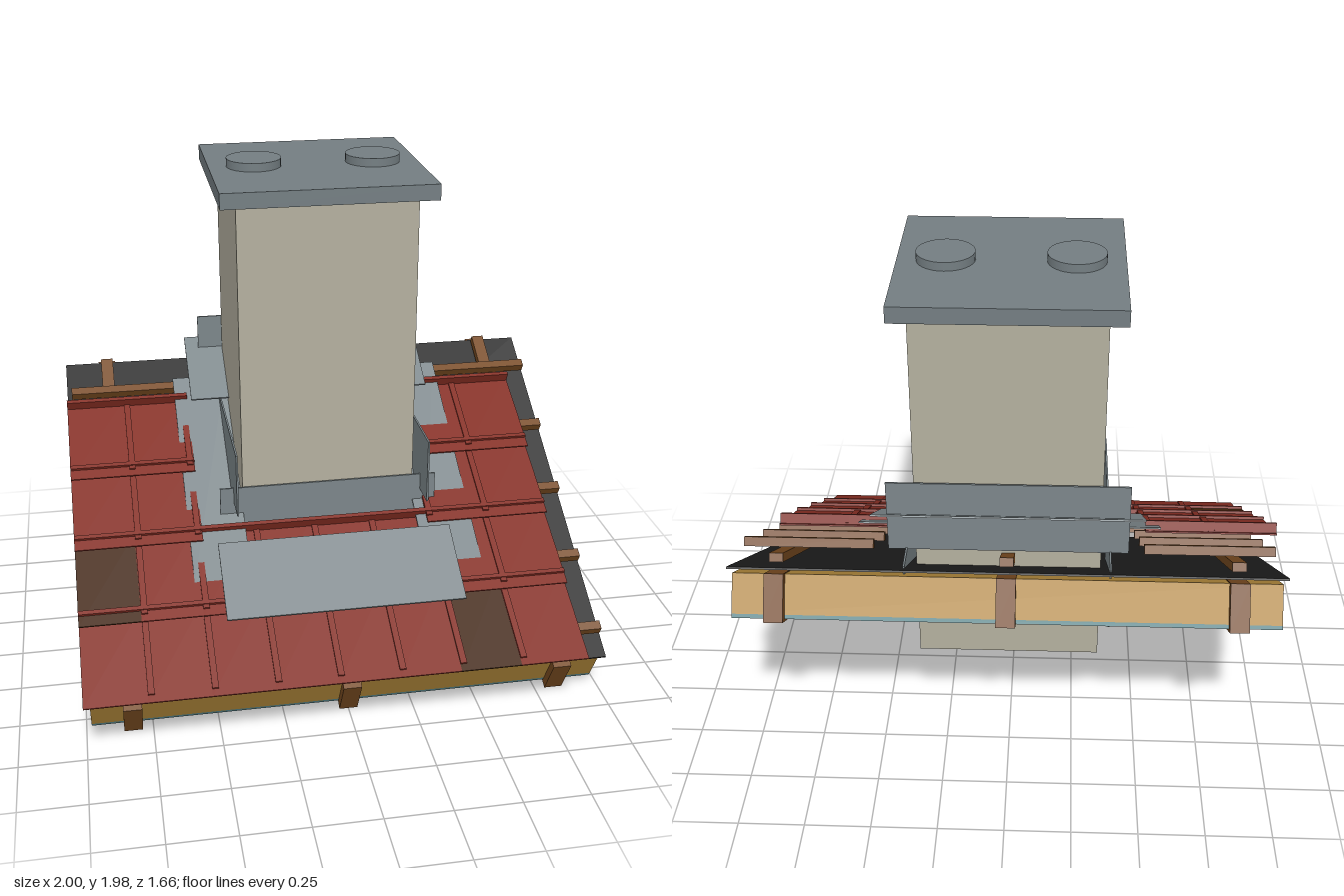
import * as THREE from 'three';

const mat = (name, color) => {
  const m = new THREE.MeshStandardMaterial({ color });
  m.name = name;
  return m;
};

export function createModel() {
  const red = mat('red clay', 0x842d22);
  const burnt = mat('dark clay', 0x45260d);
  const wood = mat('brown timber', 0x774a20);
  const gold = mat('golden insulation', 0xb0873a);
  const teal = mat('teal lining', 0x56858a);
  const black = mat('black membrane', 0x1d1d1d);
  const lead = mat('grey flashing', 0x7c868a);
  const slate = mat('grey cap', 0x747e82);
  const render = mat('beige render', 0xb4b09f);

  const model = new THREE.Group();
  model.name = 'chimneyRoofSection';

  // Box given by its minimum and maximum on each axis
  const box = (parent, name, material, x0, x1, y0, y1, z0, z1) => {
    const mesh = new THREE.Mesh(new THREE.BoxGeometry(x1 - x0, y1 - y0, z1 - z0), material);
    mesh.position.set((x0 + x1) / 2, (y0 + y1) / 2, (z0 + z1) / 2);
    mesh.name = name;
    parent.add(mesh);
  };

  // Roof frame pitched at 30 degrees: local y is the normal, local z runs downslope
  const roof = new THREE.Group();
  roof.name = 'roof';
  roof.rotation.x = Math.PI / 6;
  model.add(roof);

  // Layers of the roof slab
  box(roof, 'lining', teal, -0.98, 0.98, 0.315, 0.33, -1.1, 0.485);
  box(roof, 'insulation', gold, -0.98, 0.98, 0.33, 0.477, -1.1, 0.485);
  box(roof, 'membrane', black, -1, 1, 0.491, 0.499, -1.11, 0.5);

  // Rafters and counter battens run up the slope
  for (const x of [-0.825, 0, 0.825]) {
    box(roof, 'rafter', wood, x - 0.035, x + 0.035, 0.305, 0.48, -1.133, 0.516);
    box(roof, 'counterBatten', wood, x - 0.025, x + 0.025, 0.517, 0.55, -1.09, 0.48);
  }

  // Battens run across, interrupted by the chimney
  const pitch = 0.3255;
  for (let i = 0; i < 5; i++) {
    const z = 0.407 - pitch * i;
    const spans = i < 2 ? [[-0.98, 0.98]] : [[-0.98, -0.5], [0.5, 0.98]];
    for (const [a, b] of spans) box(roof, 'batten', wood, a, b, 0.555, 0.59, z - 0.0175, z + 0.0175);
  }

  // Tile rows, each tilted so its lower edge rides over the row below
  const step = 0.23;
  for (let r = 0; r < 4; r++) {
    const row = new THREE.Group();
    row.name = 'tileRow';
    row.position.set(0, 0.645, 0.378 - pitch * r);
    row.rotation.x = -0.083;
    roof.add(row);
    const present = (c) => c >= 0 && c < 8 && (r < 2 || c < 2 || c > 5);
    for (let c = 0; c < 8; c++) {
      const x0 = -1 + step * c;
      if (present(c)) {
        const x1 = x0 + step + (present(c + 1) ? 0 : 0.03);
        const dark = (r === 0 && c === 6) || (r === 1 && c === 0);
        box(row, 'tile', dark ? burnt : red, x0, x1, -0.003, 0.003, -0.2, 0.2);
        // Raised lip along the upper edge, showing above the next row
        box(row, 'tileHeadLip', red, x0, x1, 0.002, 0.041, -0.187, -0.17);
      }
      // Side rib over each joint
      if (c < 7 && (present(c) || present(c + 1))) {
        const x = -0.757 + step * c;
        box(row, 'tileRib', red, x - 0.012, x + 0.012, 0.002, 0.01, -0.19, 0.17);
      }
    }
  }

  // Flashing lying on the slope
  box(roof, 'frontApron', lead, -0.457, 0.457, 0.672, 0.68, -0.045, 0.287);
  box(roof, 'backApron', lead, -0.495, 0.495, 0.685, 0.692, -1.067, -0.734);
  for (const s of [-1, 1]) {
    const x = 0.45 * s;
    box(roof, 'sideSoaker', lead, x - 0.11, x + 0.11, 0.646, 0.652, -0.881, 0.106);
  }

  // Chimney stack
  box(model, 'chimneyStack', render, -0.34, 0.34, 0.475, 1.9, -0.52, 0.145);
  box(model, 'chimneyCap', slate, -0.403, 0.403, 1.895, 1.955, -0.585, 0.207);
  for (const x of [-0.23, 0.23]) {
    const flue = new THREE.Mesh(new THREE.CylinderGeometry(0.105, 0.105, 0.05, 32), slate);
    flue.position.set(x, 1.962, -0.19);
    flue.name = 'flueCover';
    model.add(flue);
  }

  // Upright flashing around the stack
  box(model, 'frontUpstand', lead, -0.43, 0.43, 0.48, 0.77, 0.152, 0.159);
  box(model, 'backUpstand', lead, -0.44, 0.44, 0.955, 1.24, -0.534, -0.527);
  for (const s of [-1, 1]) {
    box(model, 'sideUpstand', lead, 0.373 * s - 0.0035, 0.373 * s + 0.0035, 0.705, 0.96, -0.65, 0.272);
  }

  return model;
}
